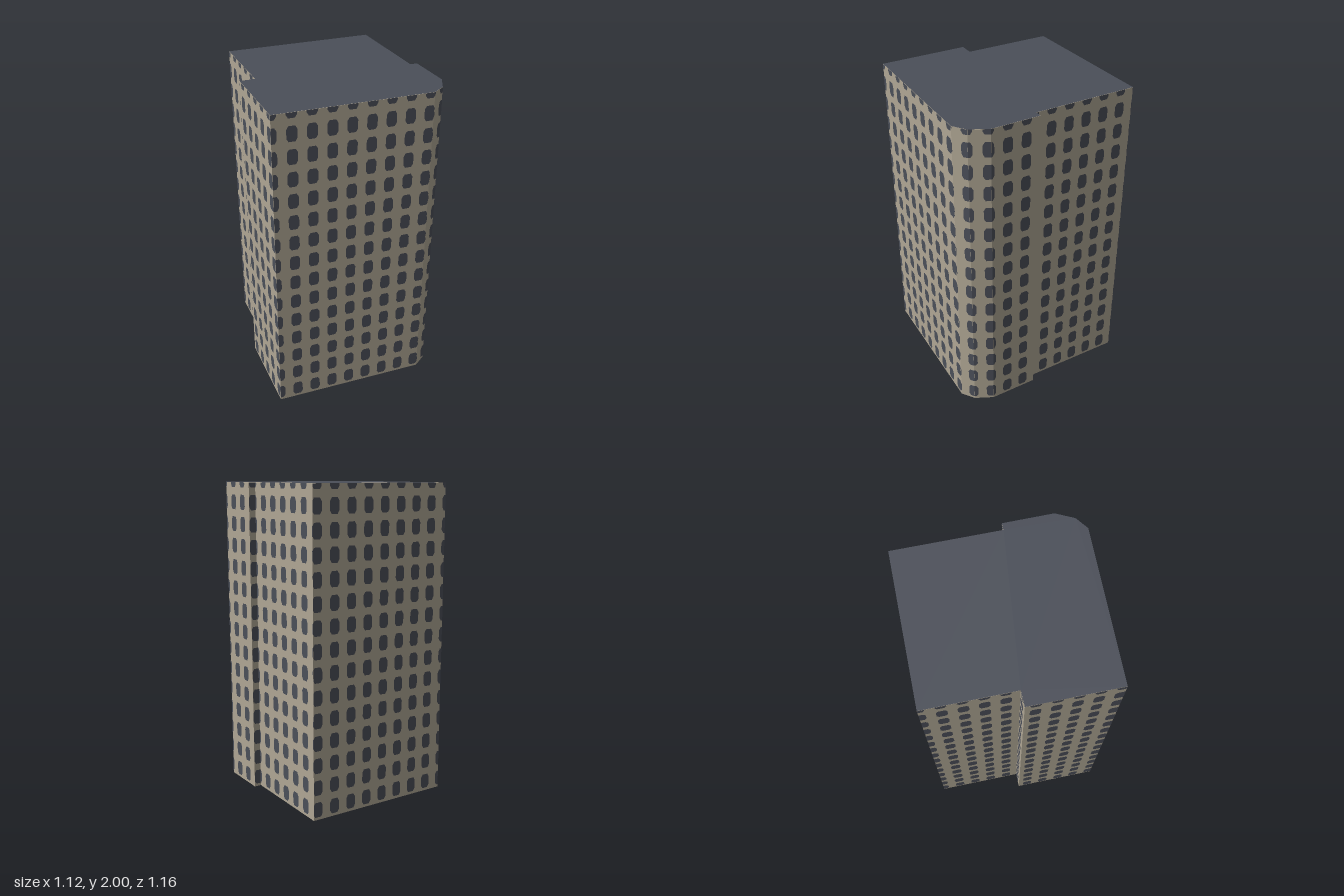
import * as THREE from 'three';
import { mergeGeometries } from 'three/addons/utils/BufferGeometryUtils.js';

const HEIGHT = 1.999;
// Footprint corners as [x, z], anticlockwise seen from above, from the front left edge
const FOOTPRINT = [
  [-0.56, 0.546], [0.42, 0.578], [0.5, 0.522], [0.557, 0.41], [0.557, 0.098],
  [0.512, 0.098], [0.516, -0.573], [-0.458, -0.58], [-0.461, -0.017], [-0.557, -0.017],
];

// Window grid, running continuously around the corners
const PITCH_X = 0.119, PITCH_Y = 0.1392, FIRST_ROW = 0.065, ROWS = 15;
const HALF_W = 0.032, HALF_H = 0.047, CUT_X = 0.012, CUT_Y = 0.02;

// Half height of a clipped-corner window at a distance from its centre line
function halfHeight(offset) {
  const past = Math.max(0, Math.abs(offset) - (HALF_W - CUT_X));
  return HALF_H - CUT_Y * past / CUT_X;
}

// Window outline limited to the stretch [lo, hi] of its width and to the wall top
function windowShape(centre, y, lo, hi) {
  const inner = [-HALF_W + CUT_X, HALF_W - CUT_X].filter(o => o > lo && o < hi);
  const offsets = [lo, ...inner, hi];
  const bottom = offsets.map(o => new THREE.Vector2(centre + o, y - halfHeight(o)));
  const top = offsets.map(o => new THREE.Vector2(centre + o, Math.min(HEIGHT, y + halfHeight(o))));
  return new THREE.Shape([...bottom, ...top.reverse()]);
}

export function createModel() {
  const wall = new THREE.MeshStandardMaterial({ color: 0xafa694 });
  wall.name = 'stone wall';
  const slate = new THREE.MeshStandardMaterial({ color: 0x4b4f59 });
  slate.name = 'slate';

  const group = new THREE.Group();
  group.name = 'towerBlock';
  const add = (name, geometry, material) => {
    const mesh = new THREE.Mesh(geometry, material);
    mesh.name = name;
    group.add(mesh);
  };

  // Walls and underside
  const plan = new THREE.Shape(FOOTPRINT.map(([x, z]) => new THREE.Vector2(x, -z)));
  add('walls', new THREE.ExtrudeGeometry(plan, { depth: HEIGHT, bevelEnabled: false })
    .rotateX(-Math.PI / 2), wall);

  // Flat roof
  add('roof', new THREE.ShapeGeometry(plan).rotateX(-Math.PI / 2).translate(0, 2, 0), slate);

  // Windows: walk round the footprint and lay out the columns on each wall
  const panes = [];
  const up = new THREE.Vector3(0, 1, 0);
  let start = 0;
  FOOTPRINT.forEach(([x, z], i) => {
    const [nx, nz] = FOOTPRINT[(i + 1) % FOOTPRINT.length];
    const along = new THREE.Vector3(nx - x, 0, nz - z);
    const length = along.length();
    along.normalize();
    const out = along.clone().cross(up);
    const place = new THREE.Matrix4().makeBasis(along, up, out)
      .setPosition(x + out.x * 0.0015, 0, z + out.z * 0.0015);

    const shapes = [];
    const first = Math.floor(start / PITCH_X), last = Math.ceil((start + length) / PITCH_X);
    for (let col = first; col <= last; col++) {
      const centre = col * PITCH_X - start;
      const lo = Math.max(-HALF_W, -centre), hi = Math.min(HALF_W, length - centre);
      if (hi - lo < 0.002) continue;
      for (let row = 0; row < ROWS; row++) {
        shapes.push(windowShape(centre, FIRST_ROW + row * PITCH_Y, lo, hi));
      }
    }
    if (shapes.length) panes.push(new THREE.ShapeGeometry(shapes).applyMatrix4(place));
    start += length;
  });
  const windows = mergeGeometries(panes);
  windows.clearGroups();
  add('windows', windows, slate);

  return group;
}
